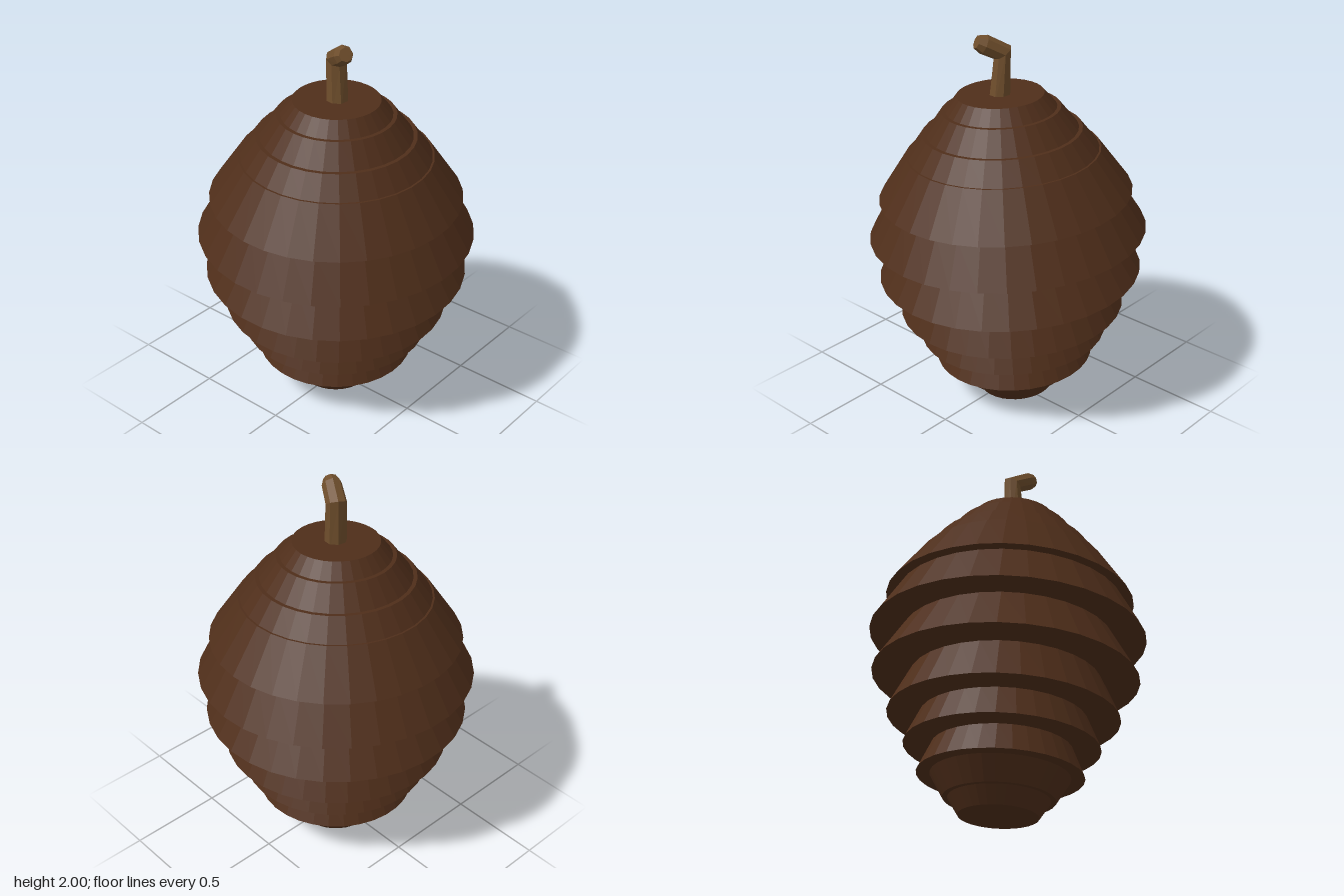
import * as THREE from 'three';

const SIDES = 32;
const LEAN = 0.035;
const PIVOT = 0.85;

// Overlapping tiers, top to bottom: [top radius, top y, rim radius, rim y]
const TIERS = [
  [0.22, 1.69, 0.28, 1.615],
  [0.30, 1.615, 0.385, 1.50],
  [0.405, 1.50, 0.485, 1.39],
  [0.495, 1.39, 0.65, 1.165],
  [0.595, 1.165, 0.717, 0.955],
  [0.55, 0.955, 0.685, 0.727],
  [0.49, 0.727, 0.59, 0.515],
  [0.425, 0.515, 0.495, 0.358],
  [0.355, 0.358, 0.418, 0.212],
  [0.35, 0.212, 0.28, 0.095],
  [0.255, 0.095, 0.20, 0.01],
];

// Stem rings: [offset along the bend, height, radius, tilt]
const STEM = [
  [0, 1.64, 0.057, 0],
  [-0.015, 1.9, 0.053, 0.6],
  [0.08, 1.95, 0.05, 1.13],
  [0.115, 1.965, 0.035, 1.13],
];

function tieredBody(material) {
  // Profile runs from the base up, so the lathe faces point outward
  const points = [new THREE.Vector2(0, TIERS[0][1])];
  for (const [topR, topY, rimR, rimY] of TIERS) {
    points.push(new THREE.Vector2(topR, topY), new THREE.Vector2(rimR, rimY));
  }
  points.push(new THREE.Vector2(0, TIERS[TIERS.length - 1][3]));
  points.reverse();
  points.forEach((p) => { p.y -= PIVOT; });
  const body = new THREE.Mesh(new THREE.LatheGeometry(points, SIDES), material);
  body.name = 'scaleTiers';
  body.rotation.y = -0.056;
  return body;
}

function bentStem(material) {
  const last = STEM.length - 1;
  const geometry = new THREE.CylinderGeometry(1, 1, 1, 8, last);
  const pos = geometry.attributes.position;
  // Each ring of the cylinder is placed and tilted along the bend (local +z)
  for (let i = 0; i < pos.count; i++) {
    const [offset, height, radius, tilt] = STEM[Math.round((pos.getY(i) + 0.5) * last)];
    const across = pos.getZ(i) * radius;
    pos.setXYZ(
      i,
      pos.getX(i) * radius,
      height - across * Math.sin(tilt),
      offset + across * Math.cos(tilt)
    );
  }
  geometry.computeVertexNormals();
  const stem = new THREE.Mesh(geometry, material);
  stem.name = 'stem';
  stem.position.set(-0.03, 0, 0.035);
  stem.rotation.y = -0.52;
  return stem;
}

export function createModel() {
  const model = new THREE.Group();
  model.name = 'pineCone';
  const scaleBrown = new THREE.MeshStandardMaterial({ color: 0x4f2e1a, flatShading: true });
  const stemBrown = new THREE.MeshStandardMaterial({ color: 0x6f4e2c, flatShading: true });

  // The tiered body leans slightly about its middle
  const cone = new THREE.Group();
  cone.name = 'cone';
  cone.position.y = PIVOT;
  cone.rotation.set(LEAN, 0, LEAN);
  cone.add(tieredBody(scaleBrown));

  model.add(cone, bentStem(stemBrown));
  return model;
}
